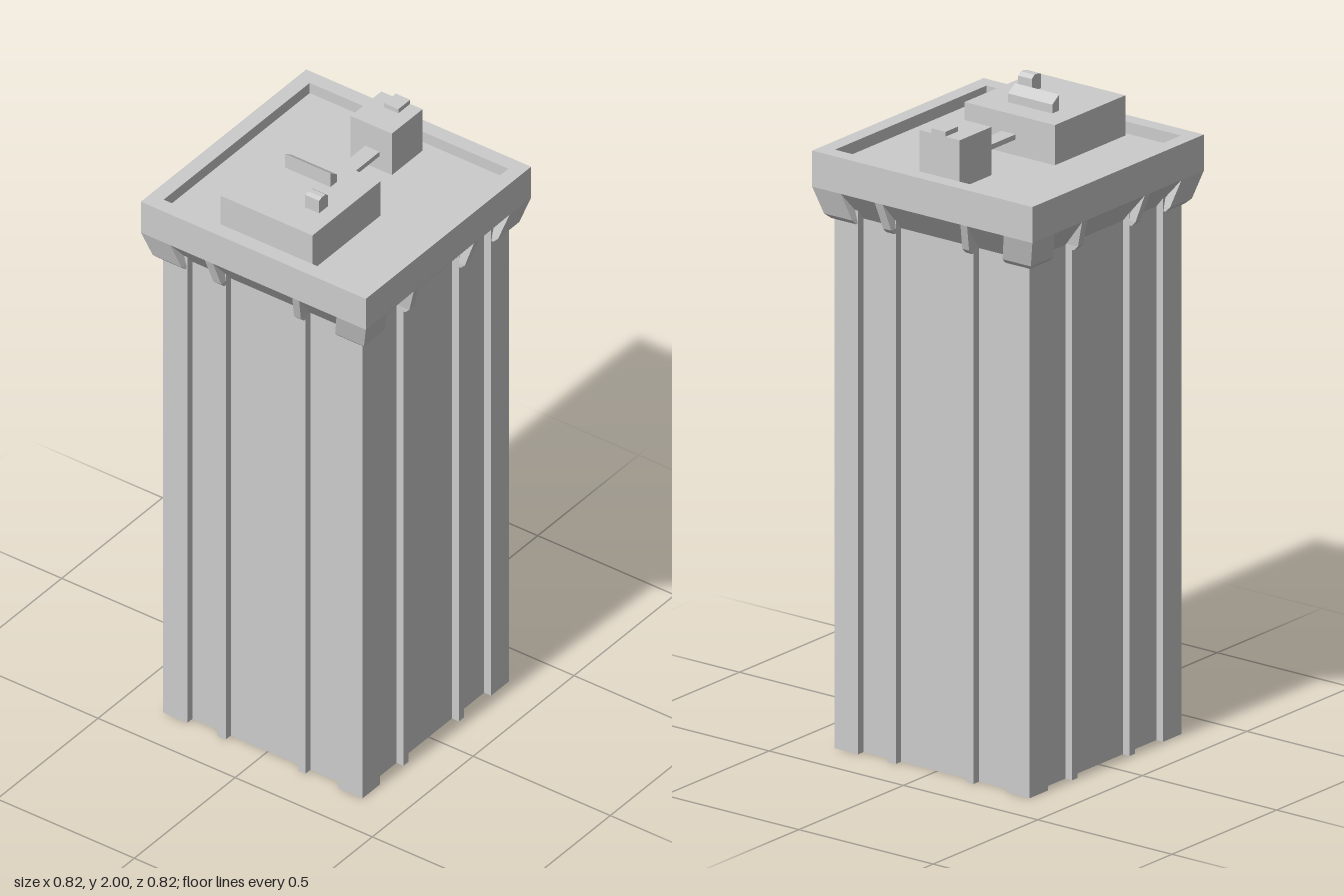
import * as THREE from 'three';

const material = new THREE.MeshStandardMaterial({ color: 0xcccccc, flatShading: true, side: THREE.DoubleSide });

function addMesh(parent, name, geometry) {
  const mesh = new THREE.Mesh(geometry, material);
  mesh.name = name;
  parent.add(mesh);
  return mesh;
}

// Joins closed rings of [x, y, z] points, listed bottom to top, anticlockwise from above
function loft(rings, capped) {
  const n = rings[0].length;
  const index = [];
  for (let r = 0; r < rings.length - 1; r++) {
    for (let i = 0; i < n; i++) {
      const a = r * n + i, b = r * n + (i + 1) % n;
      index.push(a, b, b + n, a, b + n, a + n);
    }
  }
  if (capped) {
    const t = (rings.length - 1) * n;
    for (let i = 1; i < n - 1; i++) index.push(0, i + 1, i, t, t + i, t + i + 1);
  }
  const indexed = new THREE.BufferGeometry();
  indexed.setAttribute('position', new THREE.Float32BufferAttribute(rings.flat(2), 3));
  indexed.setIndex(index);
  const geometry = indexed.toNonIndexed();
  geometry.computeVertexNormals();
  return geometry;
}

const rect = (x0, x1, z0, z1, y) => [[x0, y, z1], [x1, y, z1], [x1, y, z0], [x0, y, z0]];

function addBox(parent, name, x0, x1, y0, y1, z0, z1) {
  const box = addMesh(parent, name, new THREE.BoxGeometry(x1 - x0, y1 - y0, z1 - z0));
  box.position.set((x0 + x1) / 2, (y0 + y1) / 2, (z0 + z1) / 2);
}

// Profile in x and y, drawn out along z
function addPrism(parent, name, points, z0, z1) {
  const shape = new THREE.Shape(points.map(p => new THREE.Vector2(...p)));
  const mesh = addMesh(parent, name, new THREE.ExtrudeGeometry(shape, { depth: z1 - z0, bevelEnabled: false }));
  mesh.position.z = z0;
}

const HALF = 0.363, PANEL = 0.338, FLOOR = 1.825;

// Rib edges along each wall, measured left to right as seen from outside
const frontRibs = [[-0.16, -0.135], [0.115, 0.14]];
const sideRibs = [[-0.165, -0.135], [0.13, 0.155]];
const walls = [frontRibs, sideRibs, frontRibs, sideRibs];

// Turns a point of the front wall to wall number k
function turn(u, d, k) {
  return [[u, d], [d, -u], [-u, -d], [-d, u]][k];
}

function shaftOutline() {
  const outline = [];
  walls.forEach((ribs, k) => {
    const side = [[-HALF, HALF], [-0.275, HALF], [-0.275, PANEL]];
    for (const [a, b] of ribs) side.push([a, PANEL], [a, HALF], [b, HALF], [b, PANEL]);
    side.push([0.275, PANEL], [0.275, HALF]);
    for (const [u, d] of side) outline.push(turn(u, d, k));
  });
  return outline;
}

export function createModel() {
  const model = new THREE.Group();
  model.name = 'tower';

  // Hollow shaft with corner posts and thin ribs
  const outline = shaftOutline();
  addMesh(model, 'shaft', loft([0, FLOOR].map(y => outline.map(([x, z]) => [x, y, z])), false));

  // Overhanging crown with parapet and sunken roof
  const crown = [[PANEL, 1.66], [0.41, 1.75], [0.41, 1.862], [0.362, 1.862], [0.362, FLOOR], [0, FLOOR]]
    .map(([r, y]) => new THREE.Vector2(r * Math.SQRT2, y));
  addMesh(model, 'crown', new THREE.LatheGeometry(crown, 4, Math.PI / 4).toNonIndexed());

  // Brackets under the crown: one per corner and one per rib
  const brackets = new THREE.Group();
  brackets.name = 'crownBrackets';
  model.add(brackets);
  const cornerGeometry = loft([
    rect(0.277, 0.37, 0.277, 0.37, 1.65),
    rect(0.28, 0.385, 0.28, 0.385, 1.665),
    rect(0.303, 0.41, 0.303, 0.41, 1.75),
  ], true);
  walls.forEach((ribs, k) => {
    addMesh(brackets, 'cornerBracket', cornerGeometry).rotation.y = k * Math.PI / 2;
    for (const [a, b] of ribs) {
      const s = Math.sign(a);
      const flare = 0.012 * s;
      const rib = addMesh(brackets, 'ribBracket', loft([
        rect(a, b, 0.32, 0.37, 1.65),
        rect(a, b, 0.32, 0.385, 1.665),
        rect(a + flare, b + flare, 0.32, 0.41, 1.75),
      ], true));
      rib.rotation.y = k * Math.PI / 2;
    }
  });

  // Rooftop plant
  const roof = new THREE.Group();
  roof.name = 'rooftop';
  model.add(roof);
  addBox(roof, 'largeRoofHouse', -0.345, -0.008, FLOOR, 1.95, -0.168, 0.168);
  addBox(roof, 'smallRoofHouse', 0.175, 0.327, FLOOR, 1.975, -0.075, 0.075);
  addBox(roof, 'smallHouseVent', 0.268, 0.327, 1.975, 1.99, -0.022, 0.03);
  addBox(roof, 'duct', -0.008, 0.175, 1.874, 1.89, -0.022, 0.03);
  addPrism(roof, 'slopedVent', [[-0.119, 1.95], [-0.086, 1.95], [-0.086, 1.977], [-0.119, 2]], -0.098, 0.067);
  addPrism(roof, 'chimney',
    [[-0.244, 1.95], [-0.2, 1.95], [-0.2, 1.99], [-0.213, 2], [-0.23, 2], [-0.244, 1.995]], 0.067, 0.118);

  return model;
}
